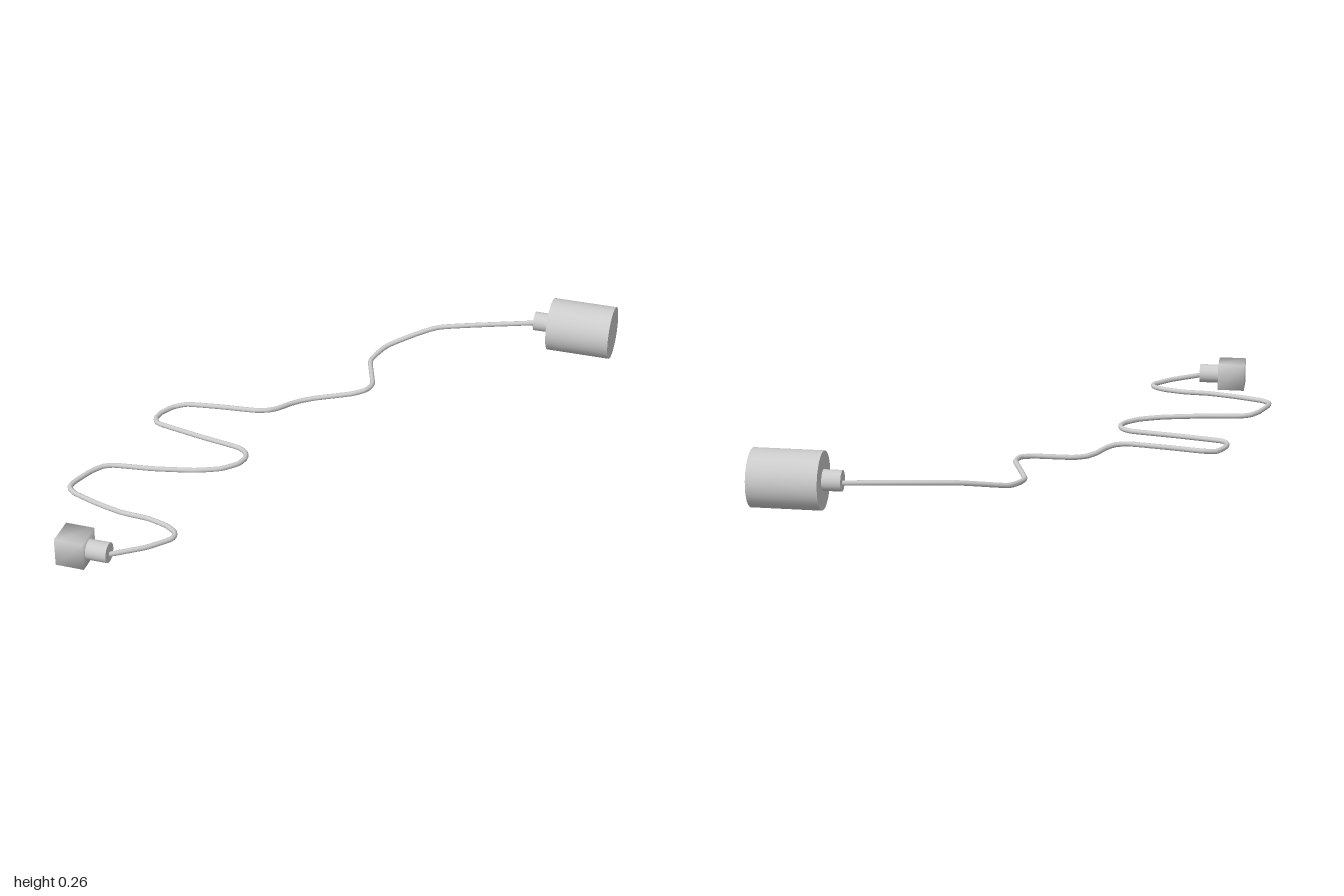
import * as THREE from 'three';
import { mergeVertices } from 'three/addons/utils/BufferGeometryUtils.js';

const material = new THREE.MeshStandardMaterial({ color: 0xcccccc });

function part(name, geometry, x = 0, y = 0, z = 0) {
  const mesh = new THREE.Mesh(geometry, material);
  mesh.name = name;
  mesh.position.set(x, y, z);
  return mesh;
}

// Cylinder lying along x, from x0 to x1
function barrel(name, radius, x0, x1, y, z) {
  const geometry = new THREE.CylinderGeometry(radius, radius, x1 - x0, 32).rotateZ(-Math.PI / 2);
  return part(name, geometry, (x0 + x1) / 2, y, z);
}

// Box whose corners share normals, for soft shading
function softBox(w, h, d) {
  const geometry = new THREE.BoxGeometry(w, h, d);
  geometry.deleteAttribute('uv');
  geometry.deleteAttribute('normal');
  const merged = mergeVertices(geometry);
  merged.computeVertexNormals();
  return merged;
}

export function createModel() {
  const group = new THREE.Group();

  // Plug end
  const plug = new THREE.Group();
  plug.name = 'plug';
  plug.add(part('plugBody', softBox(0.106, 0.106, 0.11), -0.675, 0.053, 0.94));
  plug.add(barrel('plugCollar', 0.037, -0.623, -0.546, 0.052, 0.94));
  group.add(plug);

  // Lamp socket end
  const socket = new THREE.Group();
  socket.name = 'socket';
  socket.add(barrel('socketBody', 0.103, 0.6, 0.848, 0.162, -0.896));
  socket.add(barrel('socketCollar', 0.037, 0.534, 0.602, 0.164, -0.896));
  group.add(socket);

  // Cable: raised run from the socket (x, y, z)
  const raised = [
    [0.54, 0.156, -0.896], [0.17, 0.135, -0.78], [0, 0.092, -0.66],
    [-0.04, 0.079, -0.545], [0.018, 0.083, -0.375], [0.008, 0.083, -0.32],
    [-0.04, 0.077, -0.285], [-0.17, 0.062, -0.237], [-0.22, 0.059, -0.205],
    [-0.25, 0.061, -0.17], [-0.28, 0.066, -0.12], [-0.31, 0.069, -0.09],
    [-0.36, 0.069, -0.073], [-0.5, 0.061, -0.07], [-0.63, 0.051, -0.065],
  ];
  // Cable: loops lying flat up to the plug (x, z)
  const flat = [
    [-0.68, -0.04], [-0.708, 0.01], [-0.714, 0.05], [-0.7, 0.08], [-0.67, 0.092],
    [-0.5, 0.128], [-0.35, 0.155], [-0.31, 0.18], [-0.297, 0.215], [-0.31, 0.26],
    [-0.36, 0.31], [-0.45, 0.35], [-0.6, 0.385], [-0.74, 0.405], [-0.78, 0.425],
    [-0.81, 0.47], [-0.84, 0.55], [-0.842, 0.59], [-0.81, 0.62], [-0.7, 0.66],
    [-0.6, 0.685], [-0.5, 0.692], [-0.42, 0.715], [-0.38, 0.742], [-0.37, 0.765],
    [-0.376, 0.79], [-0.44, 0.86], [-0.55, 0.94],
  ];
  const points = [
    ...raised.map((p) => new THREE.Vector3(...p)),
    ...flat.map(([x, z]) => new THREE.Vector3(x, 0.044, z)),
  ];
  const path = new THREE.CatmullRomCurve3(points, false, 'catmullrom', 0.25);
  path.arcLengthDivisions = 1000;
  group.add(part('cable', new THREE.TubeGeometry(path, 300, 0.0095, 10)));

  return group;
}
